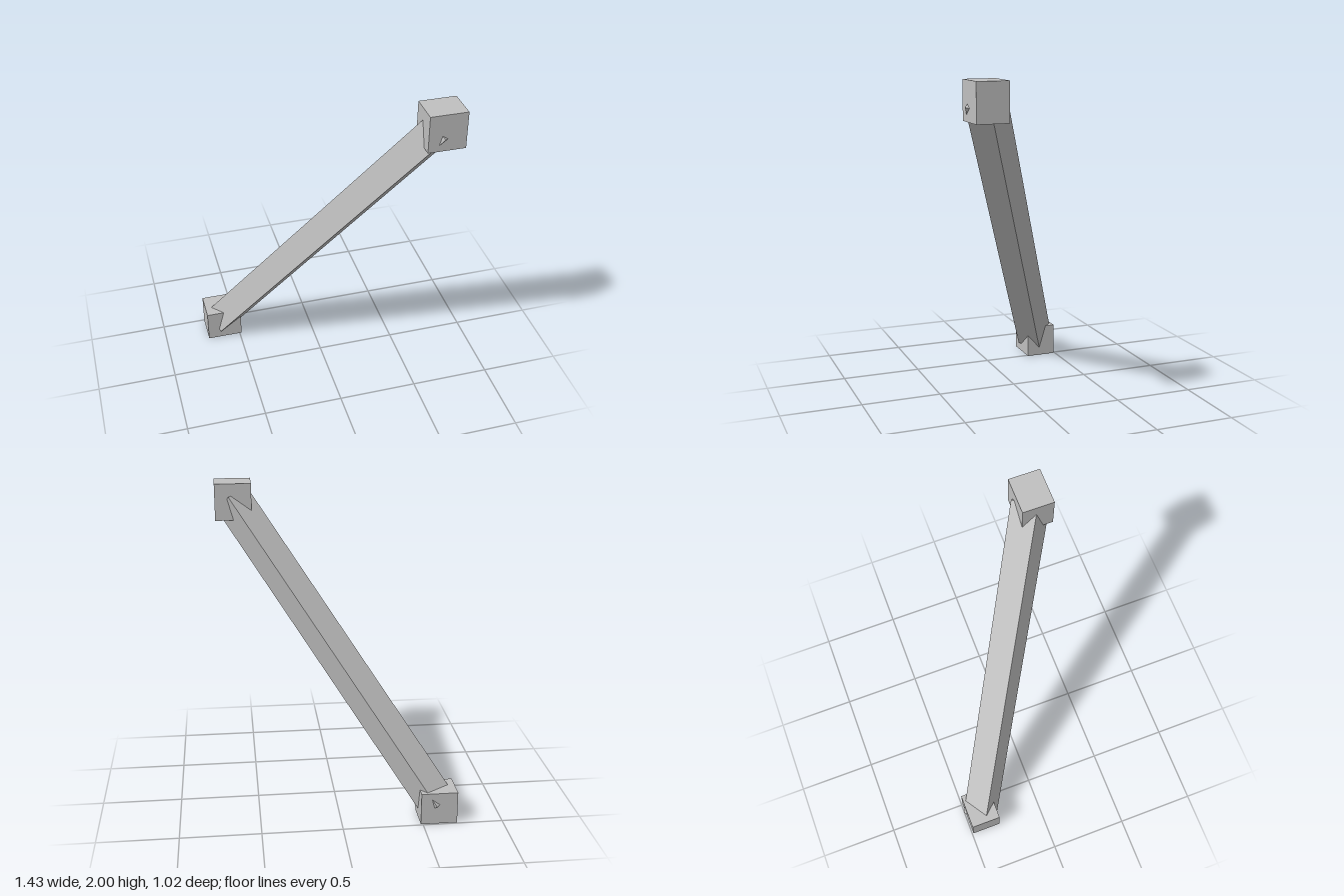
import * as THREE from 'three';

export function createModel() {
  const model = new THREE.Group();
  const grey = new THREE.MeshStandardMaterial({ color: 0xc0c0c0 });
  grey.name = 'light grey';

  // Axis-aligned block given by its lowest and highest corners
  const block = (name, min, max) => {
    const size = max.clone().sub(min);
    const mesh = new THREE.Mesh(new THREE.BoxGeometry(size.x, size.y, size.z), grey);
    mesh.position.copy(min).add(max).multiplyScalar(0.5);
    mesh.name = name;
    model.add(mesh);
  };
  block('upperBlock', new THREE.Vector3(0.487, 1.77, 0.298), new THREE.Vector3(0.715, 2, 0.491));
  block('lowerBlock', new THREE.Vector3(-0.715, 0, -0.491), new THREE.Vector3(-0.487, 0.206, -0.298));

  // Square beam running diagonally between the blocks, rolled about its axis
  const bottom = new THREE.Vector3(-0.607, 0.09, -0.397);
  const top = new THREE.Vector3(0.605, 1.886, 0.397);
  const along = top.clone().sub(bottom);
  const length = along.length();
  along.normalize();
  const side = new THREE.Vector3(0.732, -0.196, -0.655);
  side.addScaledVector(along, -side.dot(along)).normalize();
  const depth = side.clone().cross(along);

  const beam = new THREE.Mesh(new THREE.BoxGeometry(0.17, length, 0.17), grey);
  beam.name = 'diagonalBeam';
  beam.quaternion.setFromRotationMatrix(new THREE.Matrix4().makeBasis(side, along, depth));
  beam.position.copy(bottom).add(top).multiplyScalar(0.5);
  model.add(beam);

  return model;
}
